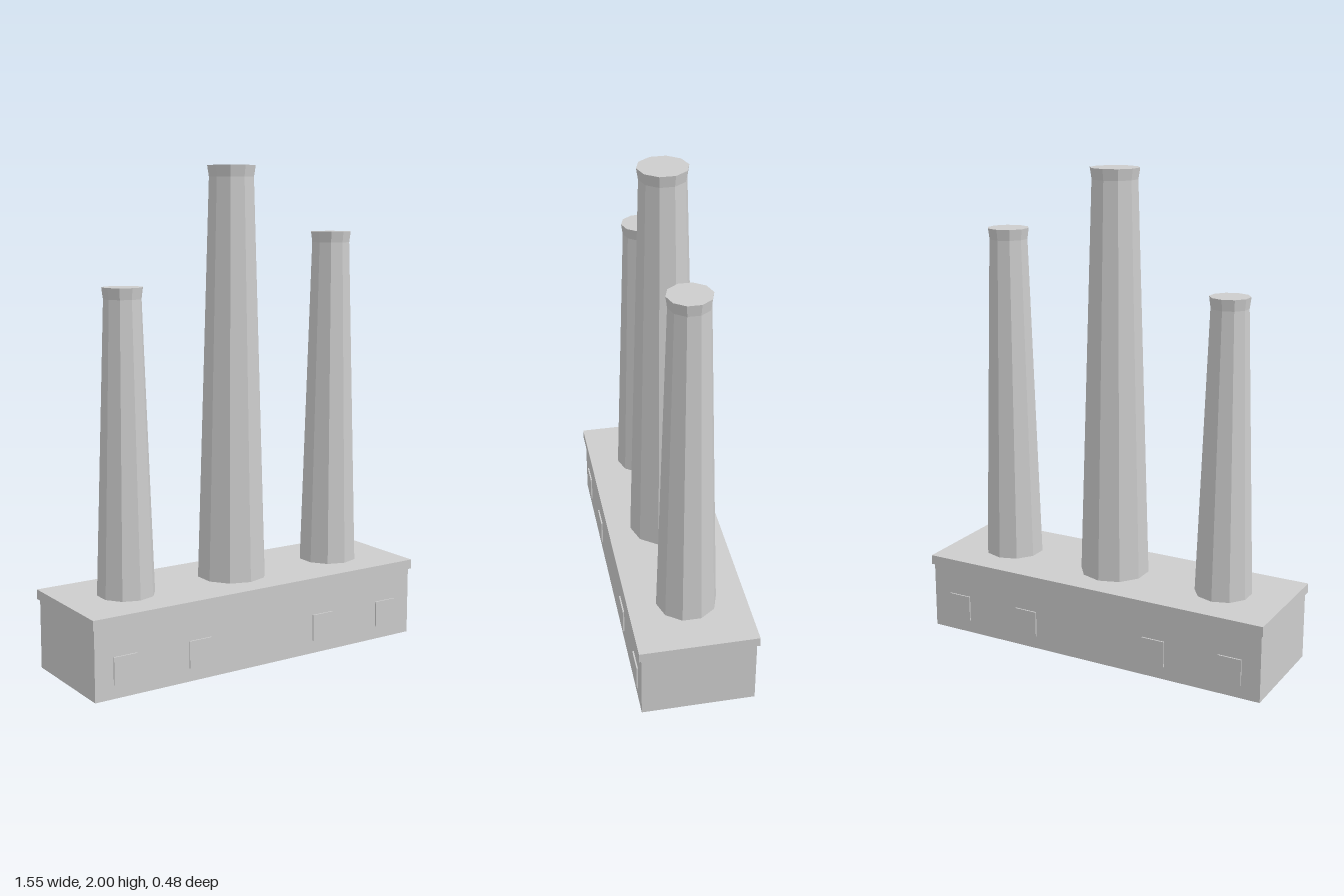
import * as THREE from 'three';

const concrete = new THREE.MeshStandardMaterial({ color: 0xcccccc });
concrete.name = 'concrete grey';

function addBox(parent, name, size, pos) {
  const mesh = new THREE.Mesh(new THREE.BoxGeometry(...size), concrete);
  mesh.name = name;
  mesh.position.set(...pos);
  parent.add(mesh);
}

// Ten-sided frustum standing on y0, with a flat cap at the top
function addFrustum(parent, name, rBottom, rTop, y0, y1, open) {
  const geo = new THREE.CylinderGeometry(rTop, rBottom, y1 - y0, 10, 1, open).toNonIndexed();
  geo.computeVertexNormals();
  const mesh = new THREE.Mesh(geo, concrete);
  mesh.name = name;
  mesh.position.y = (y0 + y1) / 2;
  parent.add(mesh);
}

export function createModel() {
  const model = new THREE.Group();
  model.name = 'chimneyBlock';

  // Building and overhanging roof slab
  addBox(model, 'building', [1.53, 0.285, 0.464], [0, 0.1425, 0]);
  addBox(model, 'roofSlab', [1.546, 0.04, 0.484], [0, 0.305, 0]);

  // Small square windows on the front and back
  for (const side of [-1, 1]) {
    for (const x of [-0.635, -0.3, 0.3, 0.635]) {
      addBox(model, 'window', [0.1, 0.11, 0.008], [x, 0.11, side * 0.234]);
    }
  }

  // Tapered chimneys with flared rims
  const chimneys = [
    { name: 'rightChimney', x: -0.5, top: 1.535, base: 0.117, neck: 0.075, rim: 0.081 },
    { name: 'middleChimney', x: 0, top: 2, base: 0.144, neck: 0.093, rim: 0.1 },
    { name: 'leftChimney', x: 0.5, top: 1.735, base: 0.124, neck: 0.081, rim: 0.087 },
  ];
  for (const c of chimneys) {
    const group = new THREE.Group();
    group.name = c.name;
    group.position.x = c.x;
    const neckY = c.top - 0.045;
    addFrustum(group, 'shaft', c.base, c.neck, 0.325, neckY, true);
    addFrustum(group, 'rim', c.neck, c.rim, neckY, c.top, false);
    model.add(group);
  }
  return model;
}
